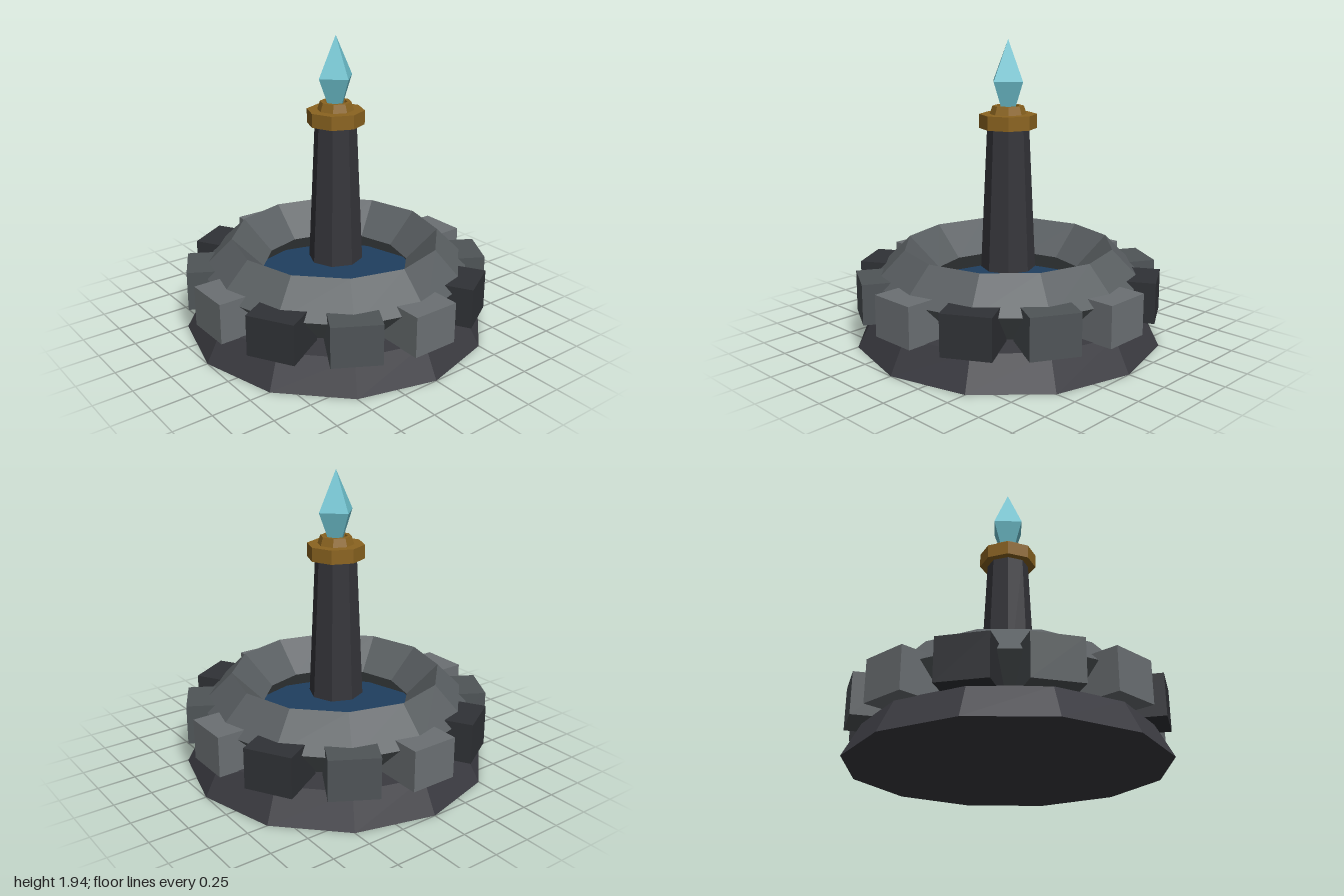
import * as THREE from 'three';

const mat = (color, side = THREE.FrontSide) =>
  new THREE.MeshStandardMaterial({ color, flatShading: true, side });

export function createModel() {
  const group = new THREE.Group();
  const add = (name, geometry, material, y = 0) => {
    const mesh = new THREE.Mesh(geometry, material);
    mesh.name = name;
    mesh.position.y = y;
    group.add(mesh);
    return mesh;
  };
  // Faceted frustum standing between two heights
  const frustum = (name, rTop, rBottom, y0, y1, sides, material) =>
    add(name, new THREE.CylinderGeometry(rTop, rBottom, y1 - y0, sides), material, (y0 + y1) / 2);

  const darkStone = mat(0x3a3a40);
  const gold = mat(0x8b6420, THREE.DoubleSide);
  const crystal = mat(0x6fc3d0);

  // Sloping twelve-sided plinth
  frustum('base', 0.89, 1, 0, 0.205, 12, darkStone);

  // Diamond-section basin rim
  const rim = new THREE.TorusGeometry(0.685, 0.205, 4, 12).rotateX(-Math.PI / 2);
  add('basinRim', rim, mat(0x5a5f62), 0.415);

  // Water inside the basin
  frustum('water', 0.6, 0.6, 0.21, 0.29, 12, mat(0x1f3f5f));

  // Ring of stone blocks in three repeating shades
  const shades = [0x6b7073, 0x4f5457, 0x303236].map((c) => mat(c));
  const blockGeometry = new THREE.BoxGeometry(0.31, 0.263, 0.32);
  for (let i = 0; i < 12; i++) {
    const a = (i * Math.PI) / 6;
    const block = add('rimBlock', blockGeometry, shades[i % 3], 0.333);
    block.position.x = 0.82 * Math.cos(a);
    block.position.z = 0.82 * Math.sin(a);
    block.rotation.y = Math.PI / 2 - a;
  }

  // Tapered octagonal column and its collar
  frustum('column', 0.135, 0.178, 0.46, 1.38, 8, mat(0x35353a));
  frustum('collar', 0.185, 0.185, 1.38, 1.47, 8, gold);

  // Hollow cup holding the crystal
  const cup = [[0.118, 1.47], [0.1, 1.523], [0.075, 1.523], [0.06, 1.472]];
  add('crystalCup', new THREE.LatheGeometry(cup.map(([r, y]) => new THREE.Vector2(r, y)), 8), gold);

  // Four-sided crystal
  frustum('crystalLower', 0.13, 0.05, 1.48, 1.68, 4, crystal);
  add('crystalTip', new THREE.ConeGeometry(0.13, 0.26, 4), crystal, 1.81);

  return group;
}
